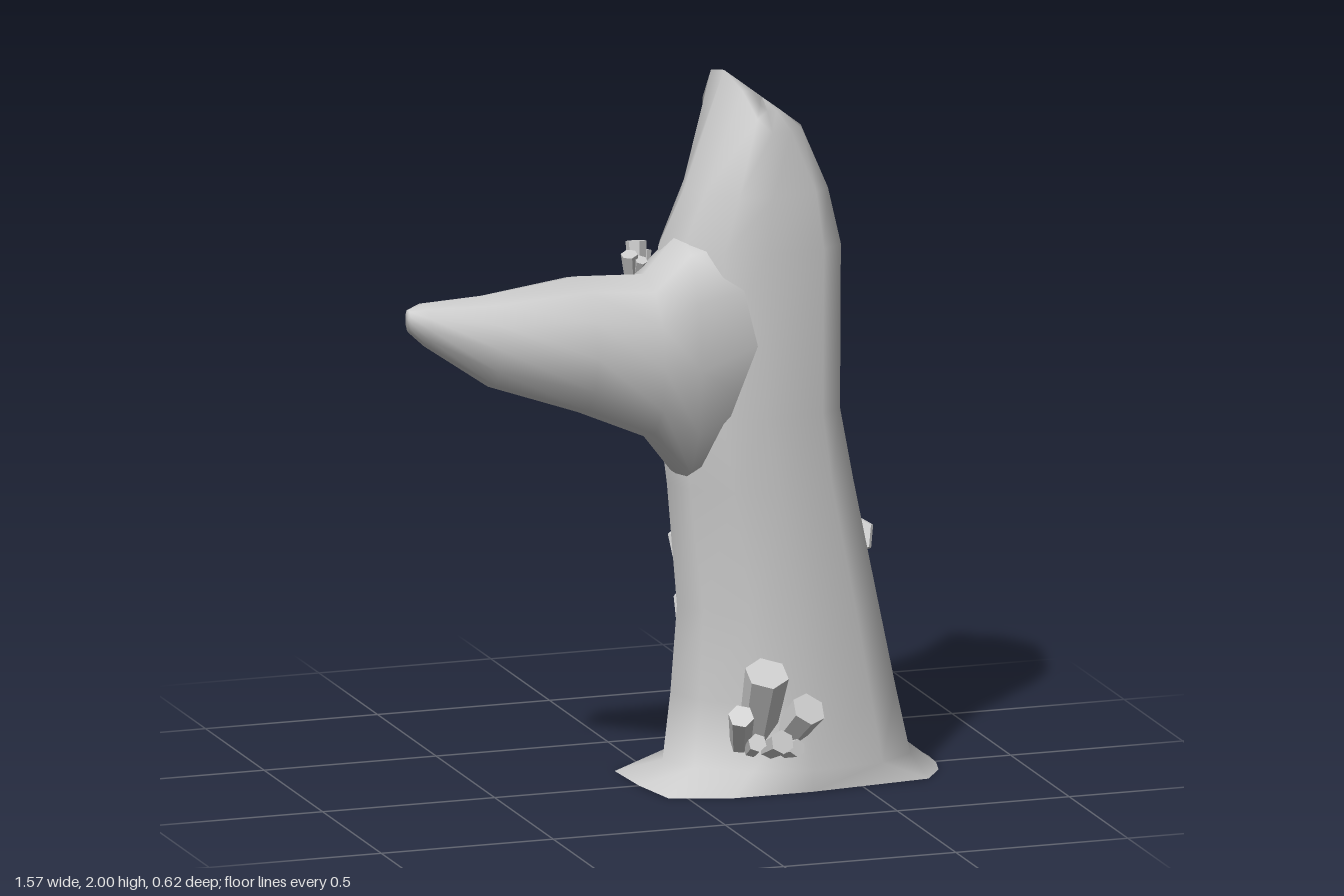
import * as THREE from 'three';

const V = (x, y, z) => new THREE.Vector3(x, y, z);
const SIDES = 12;
const smooth = new THREE.MeshStandardMaterial({ color: 0xcccccc, side: THREE.DoubleSide });
const flat = new THREE.MeshStandardMaterial({ color: 0xcccccc, flatShading: true });

// Skin joining rings of equal point count, each ring closed on itself
function loft(rings) {
  const n = rings[0].length, index = [];
  for (let j = 0; j < rings.length - 1; j++) {
    for (let i = 0; i < n; i++) {
      const a = j * n + i, b = j * n + (i + 1) % n;
      index.push(a, a + n, b, b, a + n, b + n);
    }
  }
  const g = new THREE.BufferGeometry().setFromPoints(rings.flat());
  g.setIndex(index);
  g.computeVertexNormals();
  return g;
}

// Points round an oval, mapped to 3D by place(u, v); a lower power makes the
// +u or -u half squarer
function oval(u0, u1, v0, v1, place, plusPower, minusPower) {
  return Array.from({ length: SIDES }, (_, i) => {
    const a = (i / SIDES) * Math.PI * 2;
    const power = Math.cos(a) > 0 ? plusPower : minusPower;
    const [c, s] = [Math.cos(a), Math.sin(a)].map((t) => Math.sign(t) * Math.abs(t) ** power);
    return place((u0 + u1) / 2 + c * (u1 - u0) / 2, (v0 + v1) / 2 + s * (v1 - v0) / 2);
  });
}

function add(group, name, geometry, material) {
  const m = new THREE.Mesh(geometry, material);
  m.name = name;
  group.add(m);
  return m;
}

// Hexagonal crystals growing from one root; each tip is [x, y, z, radius]
function crystalCluster(name, root, spread, tips) {
  const group = new THREE.Group();
  group.name = name;
  for (const [x, y, z, r] of tips) {
    const tip = V(x, y, z);
    const foot = root.clone();
    foot.x += (x - root.x) * spread;
    const dir = tip.clone().sub(foot);
    const c = add(group, 'crystal', new THREE.CylinderGeometry(r, r * 0.75, dir.length(), 6), flat);
    c.position.copy(foot).lerp(tip, 0.5);
    c.quaternion.setFromUnitVectors(V(0, 1, 0), dir.normalize());
  }
  return group;
}

export function createModel() {
  const model = new THREE.Group();
  model.name = 'brokenTrunk';

  // Trunk: irregular flared foot, then [y, x0, x1, z0, z1] sections
  const foot = [[0.78, 0.01], [0.76, 0.09], [0.70, 0.18], [0.35, 0.22], [0.12, 0.22], [-0.05, 0.165],
    [-0.08, 0], [-0.09, -0.18], [0.07, -0.25], [0.22, -0.315], [0.58, -0.25], [0.785, -0.07]]
    .map(([x, z]) => V(x, 0, z));
  const sections = [
    [0.06, 0, 0.705, -0.29, 0.22], [0.25, 0.02, 0.66, -0.265, 0.21], [0.5, 0.035, 0.605, -0.23, 0.2],
    [0.85, 0, 0.53, -0.19, 0.195], [1.06, -0.03, 0.48, -0.17, 0.195], [1.3, -0.03, 0.485, -0.185, 0.185],
    [1.52, -0.02, 0.49, -0.205, 0.175], [1.68, 0.06, 0.45, -0.215, 0.168],
  ].map(([y, x0, x1, z0, z1]) => oval(x0, x1, z0, z1, (x, z) => V(x, y, z), y > 1 ? 0.6 : 0.75, 1.1));
  // Rounded, slanting crown, highest towards the branch
  const rim = [[0.4, 1.83, -0.03], [0.375, 1.84, 0.05], [0.325, 1.85, 0.11], [0.255, 1.86, 0.158],
    [0.215, 1.9, 0.145], [0.19, 1.97, 0.09], [0.18, 2, -0.04], [0.18, 1.975, -0.15],
    [0.18, 1.88, -0.222], [0.27, 1.865, -0.2], [0.335, 1.85, -0.16], [0.385, 1.835, -0.09]]
    .map((p) => V(...p));
  const middle = V(0.29, 1.915, -0.035);
  const inner = rim.map((p) => p.clone().lerp(middle, 0.5).add(V(0, 0.012 * Math.abs(p.z + 0.035) / 0.19, 0)));
  add(model, 'trunk', loft([foot, ...sections, rim, inner, rim.map(() => middle)]), smooth);

  // Branch: [x, y0, y1, z0, z1] sections from inside the trunk to the tip
  const branch = [
    [0.34, 1.08, 1.48, -0.13, 0.15], [0.2, 0.95, 1.58, -0.165, 0.182], [0.03, 0.86, 1.57, -0.168, 0.215],
    [-0.08, 1.0, 1.46, -0.155, 0.23], [-0.28, 1.09, 1.475, -0.12, 0.24], [-0.55, 1.19, 1.45, -0.03, 0.205],
    [-0.73, 1.315, 1.435, 0.0, 0.14], [-0.785, 1.365, 1.43, 0.075, 0.122], [-0.787, 1.4, 1.4, 0.1, 0.1],
  ].map(([x, y0, y1, z0, z1]) => oval(y0, y1, z0, z1, (y, z) => V(x, y, z), 0.95, 0.95));
  add(model, 'branch', loft(branch), smooth);

  // Crystals at the foot and on top of the branch
  model.add(crystalCluster('footCrystals', V(0.23, 0.09, 0.1), 0.5, [
    [0.205, 0.355, 0.255, 0.062], [0.32, 0.25, 0.275, 0.05], [0.13, 0.24, 0.255, 0.036],
    [0.24, 0.165, 0.285, 0.034], [0.172, 0.165, 0.27, 0.026], [0.29, 0.14, 0.265, 0.025],
  ]));
  model.add(crystalCluster('branchCrystals', V(-0.06, 1.41, -0.08), 0.5, [
    [-0.055, 1.52, -0.1, 0.03], [-0.09, 1.495, -0.055, 0.024], [-0.025, 1.49, -0.11, 0.018],
    [-0.06, 1.48, -0.04, 0.018],
  ]));

  // Overlapping shelf plates on the back, leaning out at the top: [x, y, z, radius]
  const plates = new THREE.Group();
  plates.name = 'barkPlates';
  [
    [0.57, 0.63, -0.13, 0.08], [0.54, 0.53, -0.195, 0.085], [0.49, 0.68, -0.205, 0.1],
    [0.41, 0.57, -0.235, 0.1], [0.36, 0.69, -0.235, 0.1], [0.3, 0.54, -0.245, 0.095],
    [0.24, 0.65, -0.238, 0.1], [0.19, 0.53, -0.22, 0.09], [0.13, 0.63, -0.185, 0.08],
    [0.25, 0.45, -0.245, 0.075], [0.45, 0.47, -0.235, 0.075], [0.13, 0.46, -0.18, 0.07],
  ].forEach(([x, y, z, r], i) => {
    const p = add(plates, 'plate', new THREE.CylinderGeometry(r, r * 0.95, 0.01, 6), flat);
    p.geometry.rotateY(i * 1.3).scale(1, 1, 0.8).rotateY(i * 0.8).rotateX(Math.PI / 2);
    p.position.set(x, y, z);
    const out = V((x - 0.32) * 1.8, -0.27, -0.9 + Math.abs(x - 0.32));
    p.lookAt(p.position.clone().add(out));
  });
  model.add(plates);

  return model;
}
